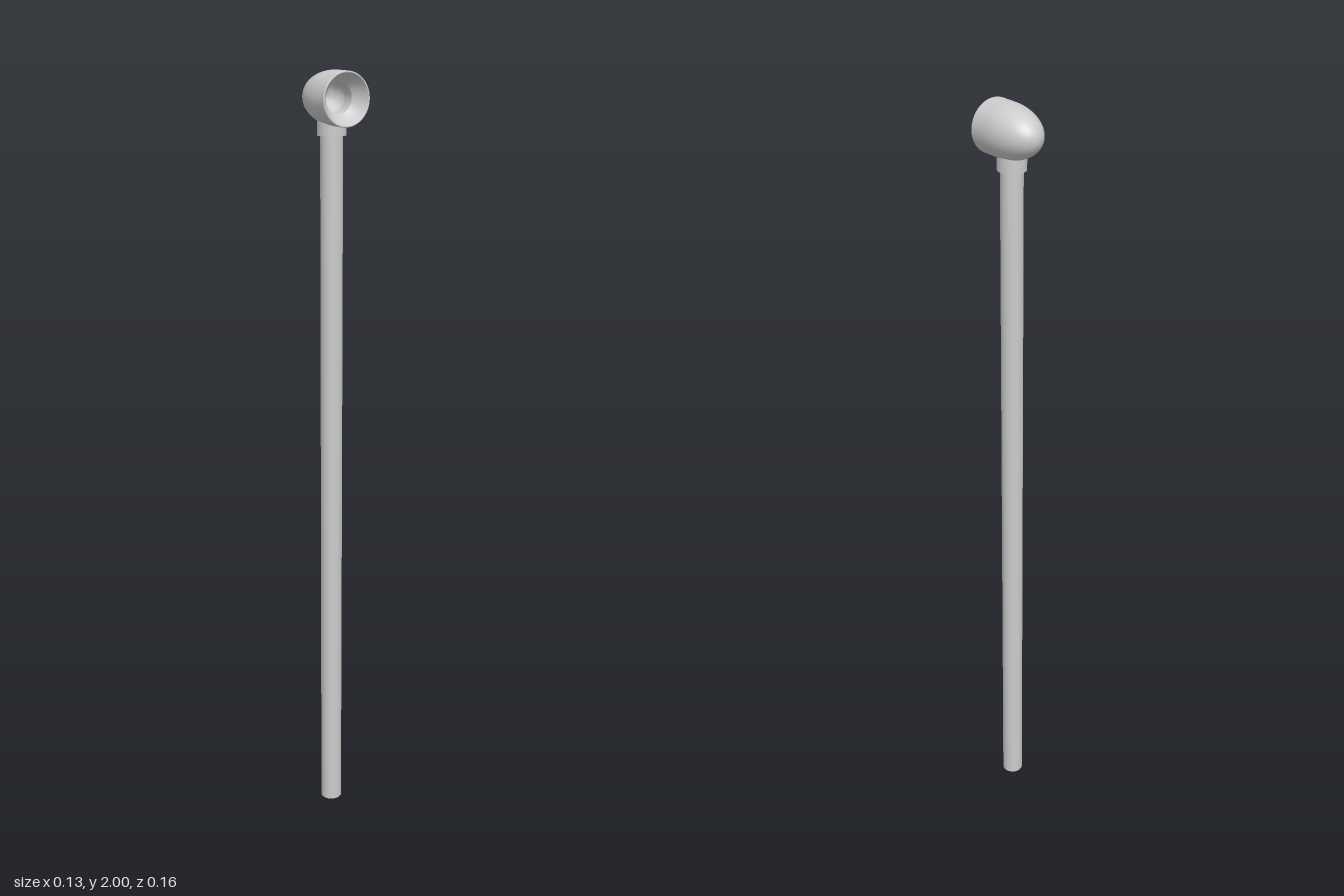
import * as THREE from 'three';

export function createModel() {
  const model = new THREE.Group();
  const material = new THREE.MeshStandardMaterial({ color: 0xcccccc });
  const add = (name, geometry, x, y, z) => {
    const mesh = new THREE.Mesh(geometry, material);
    mesh.name = name;
    mesh.position.set(x, y, z);
    model.add(mesh);
    return mesh;
  };
  // Surface of revolution whose axis runs along z; points are [radius, z]
  const turned = (points) =>
    new THREE.LatheGeometry(points.map(([r, z]) => new THREE.Vector2(r, z)), 48).rotateX(Math.PI / 2);

  const headY = 1.934, poleZ = 0.012;

  // Pole and the collar joining it to the head
  add('pole', new THREE.CylinderGeometry(0.028, 0.028, 1.86, 32), 0, 0.93, poleZ);
  add('collar', new THREE.CylinderGeometry(0.036, 0.036, 0.045, 32), 0, 1.8675, poleZ);

  // Bullet-shaped housing: elliptical back, straight front band
  const shell = [];
  for (let i = 0; i <= 20; i++) {
    const a = (i / 20) * Math.PI / 2;
    shell.push([0.066 * Math.sin(a), 0.033 - 0.115 * Math.cos(a)]);
  }
  shell.push([0.066, 0.078]);
  add('housing', turned(shell), 0, headY, 0);

  // Rounded rim and funnel-shaped reflector
  add('rim', turned([[0.066, 0.078], [0.0655, 0.0797], [0.064, 0.081], [0.062, 0.08]]), 0, headY, 0);
  add('reflector', turned([[0.062, 0.08], [0.054, 0.066], [0.046, 0.054], [0.037, 0.044]]), 0, headY, 0);

  // Recessed socket behind the reflector
  add('socketWall', turned([[0.037, 0.044], [0.037, 0.01]]), 0, headY, 0);
  add('socketBack', turned([[0.037, 0.01], [0.033, -0.005], [0.02, -0.016], [0, -0.02]]), 0, headY, 0);

  return model;
}
